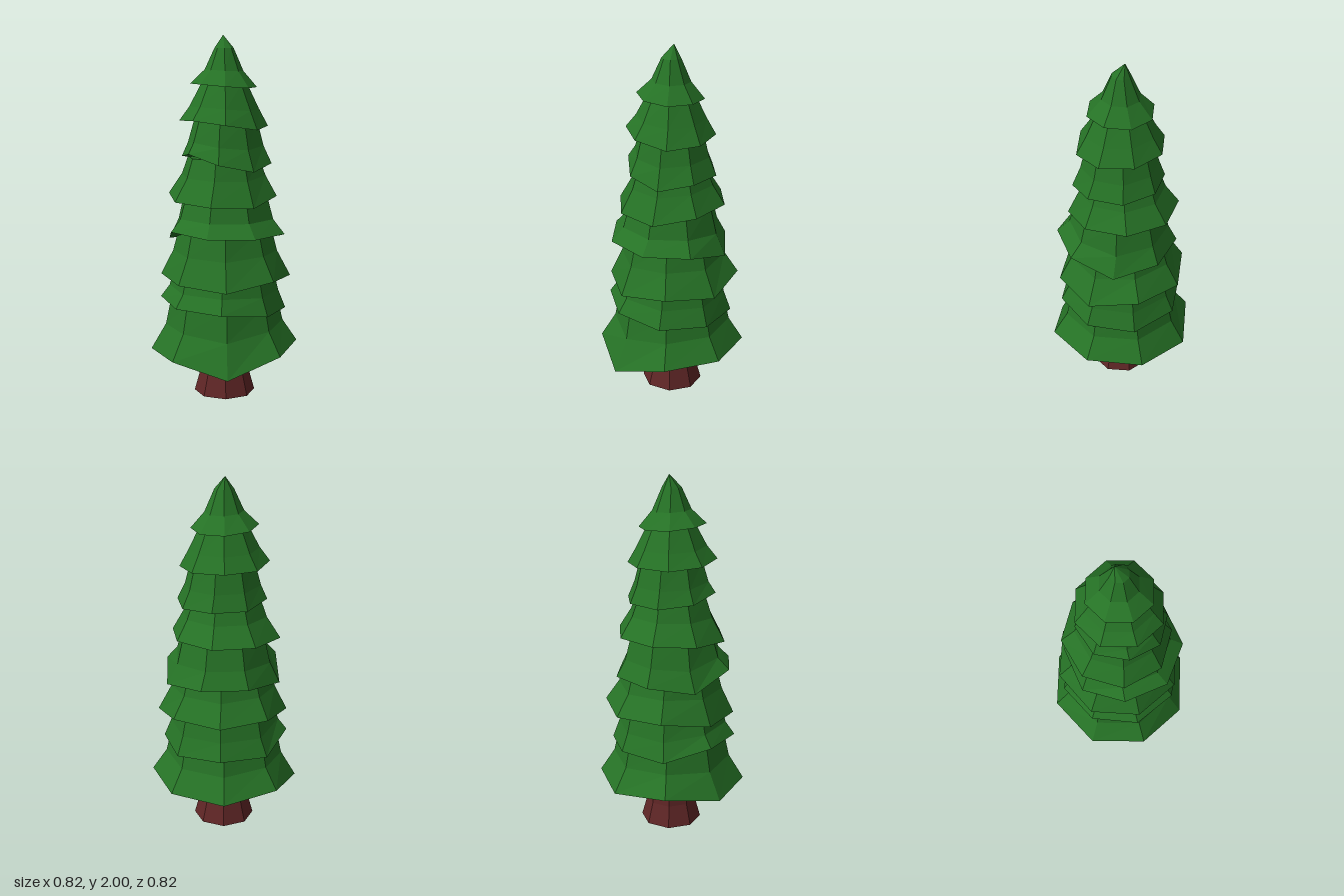
import * as THREE from 'three';

const SIDES = 8;

// Faceted shell through rings of points (listed bottom to top), closed at both ends.
function shell(rings) {
  const pos = [];
  const tri = (...pts) => pts.forEach((p) => pos.push(p.x, p.y, p.z));
  const centre = (ring) => ring
    .reduce((sum, p) => sum.add(p), new THREE.Vector3())
    .divideScalar(SIDES);
  const bottom = centre(rings[0]);
  const top = centre(rings[rings.length - 1]);
  for (let k = 0; k < SIDES; k++) {
    const n = (k + 1) % SIDES;
    tri(bottom, rings[0][k], rings[0][n]);
    for (let i = 0; i < rings.length - 1; i++) {
      const lo = rings[i], hi = rings[i + 1];
      tri(lo[k], hi[k], lo[n]);
      tri(lo[n], hi[k], hi[n]);
    }
    const last = rings[rings.length - 1];
    tri(top, last[n], last[k]);
  }
  const geometry = new THREE.BufferGeometry();
  geometry.setAttribute('position', new THREE.Float32BufferAttribute(pos, 3));
  geometry.computeVertexNormals();
  return geometry;
}

// Ring of points; corner 0 is on +x and the order runs towards +z (the front).
function ring(radius, heightAt, twist = 0, cx = 0, cz = 0) {
  return Array.from({ length: SIDES }, (_, k) => {
    const a = (k / SIDES) * Math.PI * 2 + THREE.MathUtils.degToRad(twist);
    return new THREE.Vector3(cx + Math.cos(a) * radius, heightAt(k), cz + Math.sin(a) * radius);
  });
}

// Branch tiers: r = rim radius, rim = height of each rim corner,
// upper = [radius, height] of the rings above, c = rim centre offset in x and z.
const TIERS = [
  { r: 0.412, twist: 0, c: [-0.003, 0], rim: [0.28, 0.29, 0.28, 0.19, 0.26, 0.25, 0.30, 0.27],
    upper: [[0.33, 0.40], [0.30, 0.54]] },
  { r: 0.35, twist: 4, c: [-0.012, 0], rim: [0.48, 0.49, 0.50, 0.53, 0.54, 0.55, 0.49, 0.50],
    upper: [[0.305, 0.60], [0.275, 0.72]] },
  { r: 0.362, twist: 2, c: [0.01, 0], rim: [0.72, 0.67, 0.69, 0.65, 0.67, 0.68, 0.72, 0.71],
    upper: [[0.29, 0.82], [0.255, 0.95]] },
  { r: 0.335, twist: 20, c: [-0.012, 0.022], rim: [0.87, 0.93, 0.935, 0.94, 0.95, 0.87, 0.90, 0.90],
    upper: [[0.275, 1.00], [0.235, 1.15]] },
  { r: 0.305, twist: 14, c: [-0.003, -0.014], rim: [1.14, 1.13, 1.09, 1.10, 1.11, 1.13, 1.14, 1.14],
    upper: [[0.235, 1.24], [0.20, 1.34]] },
  { r: 0.25, twist: 12, c: [0, 0.014], rim: [1.31, 1.31, 1.28, 1.32, 1.37, 1.34, 1.32, 1.32],
    upper: [[0.21, 1.41], [0.175, 1.54]] },
  { r: 0.243, twist: 0, c: [-0.007, 0], rim: [1.52, 1.51, 1.50, 1.53, 1.55, 1.54, 1.53, 1.53],
    upper: [[0.19, 1.61], [0.125, 1.74]] },
  { r: 0.182, twist: 0, c: [-0.008, 0], rim: [1.715, 1.72, 1.72, 1.73, 1.74, 1.74, 1.73, 1.72],
    upper: [[0.105, 1.81], [0.052, 1.93]], tip: new THREE.Vector3(0.008, 2, -0.018) },
];

export function createModel() {
  const tree = new THREE.Group();
  tree.name = 'pineTree';
  const green = new THREE.MeshStandardMaterial({ color: 0x267326 });
  green.name = 'needle green';
  const brown = new THREE.MeshStandardMaterial({ color: 0x602626 });
  brown.name = 'bark brown';

  // Trunk flares out towards the ground
  const trunkRings = [[0.17, 0], [0.137, 0.12], [0.125, 0.26], [0.115, 0.45]];
  const trunk = new THREE.Mesh(shell(trunkRings.map(([r, y]) => ring(r, () => y))), brown);
  trunk.name = 'trunk';
  tree.add(trunk);

  // Overlapping skirts of branches with uneven rims
  TIERS.forEach(({ r, twist, c, rim, upper, tip }, i) => {
    const mean = rim.reduce((a, b) => a + b) / SIDES;
    const rings = [ring(r, (k) => rim[k], twist, ...c)];
    upper.forEach(([radius, y], j) => {
      const follow = j === 0 ? 0.4 : 0;
      rings.push(ring(radius, (k) => y + (rim[k] - mean) * follow, twist, c[0] / 2, c[1] / 2));
    });
    // The top tier gathers into a slightly bent point
    if (tip) rings.push(Array.from({ length: SIDES }, () => tip.clone()));
    const tier = new THREE.Mesh(shell(rings), green);
    tier.name = tip ? 'treeTop' : `branchTier${i + 1}`;
    tree.add(tier);
  });
  return tree;
}
